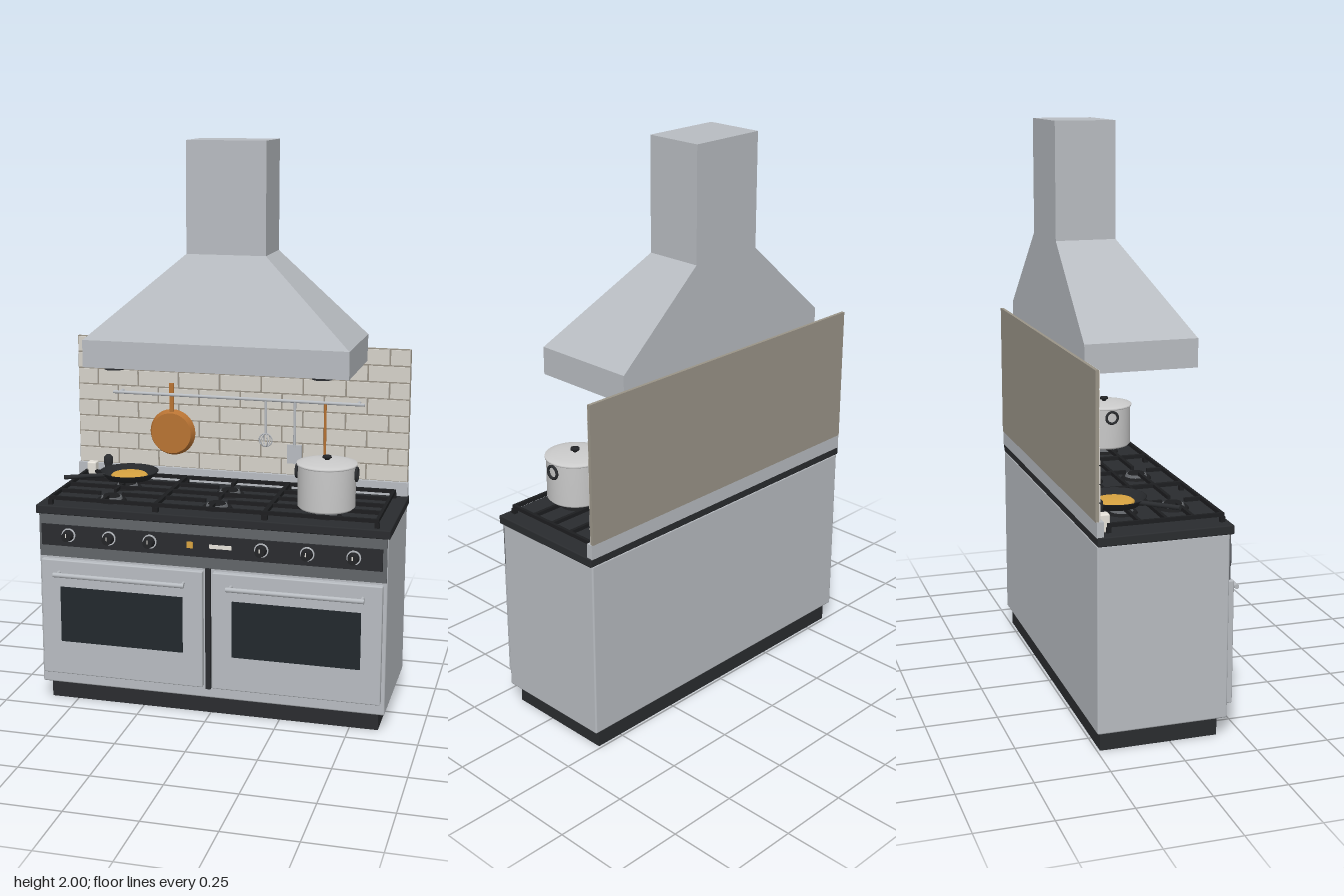
import * as THREE from 'three';
import { RoundedBoxGeometry } from 'three/addons/geometries/RoundedBoxGeometry.js';

const mat = (color, side = THREE.FrontSide) => new THREE.MeshStandardMaterial({ color, side });
const steel = mat(0xb8bcc1), dark = mat(0x2a2c2f), iron = mat(0x1d1e20), glass = mat(0x22282d);
const fascia = mat(0x626569), black = mat(0x232427), copper = mat(0xb87333), tileMat = mat(0xd6d2ca);
const grout = mat(0x9a9488), potMat = mat(0xcccccc), panMat = mat(0x26282b, THREE.DoubleSide);
const yellow = mat(0xd9a441), white = mat(0xe6e2da);

function add(parent, name, geo, material, x = 0, y = 0, z = 0) {
  const m = new THREE.Mesh(geo, material);
  m.name = name;
  m.position.set(x, y, z);
  parent.add(m);
  return m;
}
// box given by its lower and upper limits on each axis
function box(parent, name, material, x0, x1, y0, y1, z0, z1, r = 0) {
  const s = [x1 - x0, y1 - y0, z1 - z0];
  const geo = r ? new RoundedBoxGeometry(...s, 2, r) : new THREE.BoxGeometry(...s);
  return add(parent, name, geo, material, (x0 + x1) / 2, (y0 + y1) / 2, (z0 + z1) / 2);
}
// round bar between two points
function rod(parent, name, material, a, b, r) {
  const p = new THREE.Vector3(...a), q = new THREE.Vector3(...b), d = q.clone().sub(p);
  const m = add(parent, name, new THREE.CylinderGeometry(r, r, d.length(), 12), material);
  m.position.copy(p).add(q).multiplyScalar(0.5);
  m.quaternion.setFromUnitVectors(new THREE.Vector3(0, 1, 0), d.normalize());
  return m;
}
const lathe = (pts, n = 40) => new THREE.LatheGeometry(pts.map(p => new THREE.Vector2(...p)), n);
function group(parent, name) {
  const g = new THREE.Group();
  g.name = name;
  parent.add(g);
  return g;
}

function buildRange(root) {
  const g = group(root, 'range');
  box(g, 'plinth', dark, -0.6, 0.6, 0, 0.07, -0.24, 0.165);
  box(g, 'body', steel, -0.625, 0.625, 0.067, 0.706, -0.255, 0.193, 0.006);
  box(g, 'fascia', fascia, -0.622, 0.622, 0.548, 0.704, 0.18, 0.197);
  box(g, 'controlPanel', dark, -0.612, 0.608, 0.59, 0.667, 0.19, 0.203);
  box(g, 'doorDivider', dark, -0.009, 0.009, 0.105, 0.55, 0.18, 0.208);
  // control knobs with pointer marks
  for (const x of [-0.51, -0.36, -0.21, 0.19, 0.35, 0.51]) {
    const k = group(g, 'knob');
    k.position.set(x, 0.632, 0.2);
    k.rotation.x = Math.PI / 2;
    add(k, 'knobRing', new THREE.CylinderGeometry(0.025, 0.025, 0.008, 28), steel, 0, 0.004);
    add(k, 'knobBody', new THREE.CylinderGeometry(0.017, 0.021, 0.03, 28), black, 0, 0.02);
    add(k, 'knobMark', new THREE.BoxGeometry(0.004, 0.002, 0.014), white, 0, 0.0355, -0.006);
  }
  box(g, 'indicator', yellow, -0.076, -0.054, 0.62, 0.643, 0.2, 0.206);
  box(g, 'display', white, 0.005, 0.085, 0.624, 0.638, 0.2, 0.206);
  // oven doors
  for (const s of [-1, 1]) {
    const d = group(g, s < 0 ? 'rightOvenDoor' : 'leftOvenDoor');
    d.position.x = s * 0.315;
    box(d, 'doorPanel', steel, -0.297, 0.297, 0.112, 0.54, 0.19, 0.215, 0.004);
    box(d, 'doorWindow', glass, -0.226, 0.226, 0.237, 0.442, 0.2, 0.218);
    rod(d, 'handleBar', steel, [-0.24, 0.495, 0.248], [0.24, 0.495, 0.248], 0.0085);
    for (const x of [-0.23, 0.23]) rod(d, 'handlePost', steel, [x, 0.495, 0.21], [x, 0.495, 0.248], 0.006);
  }
}

function buildCooktop(root) {
  const g = group(root, 'cooktop');
  box(g, 'cooktopSlab', dark, -0.632, 0.632, 0.704, 0.735, -0.255, 0.205, 0.004);
  box(g, 'rearUpstand', steel, -0.628, 0.628, 0.733, 0.785, -0.257, -0.234);
  for (const x of [-0.39, 0, 0.39]) {
    // burners
    for (const z of [-0.1, 0.08]) {
      add(g, 'burnerBase', new THREE.CylinderGeometry(0.05, 0.055, 0.008, 32), iron, x, 0.738, z);
      add(g, 'burnerCrown', new THREE.CylinderGeometry(0.036, 0.04, 0.01, 32), fascia, x, 0.746, z);
      add(g, 'burnerCap', new THREE.CylinderGeometry(0.028, 0.032, 0.006, 32), iron, x, 0.753, z);
    }
    // pan support: frame, fingers and feet
    const p = group(g, 'panSupport');
    p.position.x = x;
    const w = 0.193, t = 0.0055, y0 = 0.753, y1 = 0.766, zb = -0.205, zf = 0.18;
    for (const sx of [-1, 1]) {
      box(p, 'sideBar', iron, sx * w - t, sx * w + t, y0, y1, zb, zf);
      for (const z of [-0.1, 0.08]) {
        const a = sx * w, b = sx * 0.04;
        box(p, 'finger', iron, Math.min(a, b), Math.max(a, b), y0, y1, z - t, z + t);
      }
      for (const z of [zb, zf]) box(p, 'foot', iron, sx * w - 0.008, sx * w + 0.008, 0.733, y0, z - 0.008, z + 0.008);
    }
    for (const z of [zb, -0.01, zf]) box(p, 'crossBar', iron, -w - t, w + t, y0, y1, z - t, z + t);
    for (const [a, b] of [[zb, -0.14], [-0.06, 0.04], [0.12, zf]]) box(p, 'centreFinger', iron, -t, t, y0, y1, a, b);
  }
}

function buildSplashback(root) {
  const g = group(root, 'splashback');
  box(g, 'splashPanel', grout, -0.626, 0.626, 0.785, 1.27, -0.26, -0.249);
  // running-bond tiles, cut at both ends
  const rows = 8, h = 0.485 / rows, w = 0.157, gap = 0.003;
  for (let r = 0; r < rows; r++) {
    for (let x = -0.626 - (r % 2) * w / 2; x < 0.62; x += w) {
      const a = Math.max(x, -0.626) + gap, b = Math.min(x + w, 0.626) - gap;
      if (b - a > 0.01) box(g, 'tile', tileMat, a, b, 0.785 + r * h + gap, 0.785 + (r + 1) * h - gap, -0.25, -0.244);
    }
  }
}

function buildHood(root) {
  const g = group(root, 'hood');
  const x = 0.47, zb = -0.249, zf = 0.133;
  // canopy rim, open below
  const rim = new THREE.Shape([[-x, zb], [x, zb], [x, zf], [-x, zf]].map(p => new THREE.Vector2(p[0], -p[1])));
  const i = 0.022;
  rim.holes.push(new THREE.Path([[-x + i, zb + i], [x - i, zb + i], [x - i, zf - i], [-x + i, zf - i]]
    .map(p => new THREE.Vector2(p[0], -p[1]))));
  const rimGeo = new THREE.ExtrudeGeometry(rim, { depth: 0.096, bevelEnabled: false }).rotateX(-Math.PI / 2);
  add(g, 'canopyRim', rimGeo, steel, 0, 1.225, 0);
  box(g, 'filterPanel', dark, -x + 0.01, x - 0.01, 1.24, 1.3, zb + 0.01, zf - 0.01);
  for (const c of [-0.29, 0, 0.29]) box(g, 'filter', fascia, c - 0.135, c + 0.135, 1.232, 1.242, -0.2, 0.06);
  for (const c of [-0.37, 0.37]) add(g, 'hoodLamp', new THREE.CylinderGeometry(0.035, 0.035, 0.026, 28), dark, c, 1.228, 0.085);
  // sloping canopy: a box whose upper corners draw in to the chimney
  const geo = new THREE.BoxGeometry(2 * x, 0.29, zf - zb);
  const p = geo.attributes.position;
  for (let k = 0; k < p.count; k++) {
    const top = p.getY(k) > 0;
    p.setXYZ(k, Math.sign(p.getX(k)) * (top ? 0.142 : x), top ? 1.61 : 1.32, p.getZ(k) < 0 ? zb : top ? -0.042 : zf);
  }
  geo.computeVertexNormals();
  add(g, 'canopySlope', geo, steel);
  box(g, 'chimney', steel, -0.142, 0.142, 1.61, 2, zb, -0.042);
}

function buildUtensils(root) {
  const g = group(root, 'utensilRail'), z = -0.208, y = 1.07;
  rod(g, 'rail', steel, [-0.475, y, z], [0.47, y, z], 0.006);
  for (const x of [-0.45, 0.445]) rod(g, 'railBracket', steel, [x, y, z], [x, y, -0.246], 0.006);
  // hanging copper pan
  const pan = add(g, 'copperPan', new THREE.CylinderGeometry(0.076, 0.087, 0.026, 44), copper, -0.255, 0.922, -0.226);
  pan.rotation.x = Math.PI / 2;
  box(g, 'copperPanHandle', copper, -0.263, -0.247, 0.995, 1.11, -0.23, -0.222);
  // whisk made of crossed loops
  rod(g, 'whiskHandle', steel, [0.107, 0.945, z], [0.107, y, z], 0.005);
  for (let k = 0; k < 3; k++) {
    const loop = add(g, 'whiskLoop', new THREE.TorusGeometry(0.024, 0.0022, 6, 28), steel, 0.107, 0.92, z);
    loop.rotation.y = k * Math.PI / 3;
  }
  // turner
  rod(g, 'turnerHandle', steel, [0.215, 0.9, z], [0.215, y, z], 0.005);
  box(g, 'turnerBlade', steel, 0.188, 0.242, 0.838, 0.908, z - 0.003, z + 0.003);
  // copper ladle
  rod(g, 'ladleHandle', copper, [0.327, 0.84, z], [0.327, y, z], 0.005);
  const bowl = new THREE.SphereGeometry(0.032, 24, 10, 0, Math.PI * 2, Math.PI / 2, Math.PI / 2);
  add(g, 'ladleBowl', bowl, mat(0xb87333, THREE.DoubleSide), 0.327, 0.848, z + 0.01);
}

function buildCookware(root) {
  // stock pot with lid
  const pot = group(root, 'stockPot');
  pot.position.set(0.39, 0.766, 0.08);
  add(pot, 'potBody', lathe([[0, 0], [0.092, 0], [0.1, 0.008], [0.1, 0.15], [0.104, 0.152], [0.104, 0.156], [0, 0.156]], 48), potMat);
  add(pot, 'potLid', lathe([[0.104, 0.154], [0.104, 0.159], [0.08, 0.164], [0.04, 0.168], [0, 0.169]], 48), potMat);
  add(pot, 'lidKnob', lathe([[0.008, 0.166], [0.008, 0.172], [0.016, 0.176], [0.015, 0.183], [0, 0.186]], 24), black);
  for (const s of [-1, 1]) {
    const h = add(pot, 'potHandle', new THREE.TorusGeometry(0.022, 0.005, 8, 28), dark, s * 0.104, 0.124, 0);
    h.rotation.y = Math.PI / 2;
  }
  // frying pan with a pancake
  const pan = group(root, 'fryingPan');
  pan.position.set(-0.39, 0.767, -0.125);
  add(pan, 'panBowl', lathe([[0, 0], [0.083, 0], [0.108, 0.026], [0.105, 0.027], [0.081, 0.005], [0, 0.005]], 44), panMat);
  add(pan, 'pancake', lathe([[0.066, 0.005], [0.068, 0.01], [0.062, 0.015], [0, 0.016]], 32), yellow);
  rod(pan, 'panHandle', dark, [-0.075, 0.02, 0.065], [-0.195, 0.028, 0.16], 0.008);
  // shakers
  box(root, 'saltBox', white, -0.583, -0.548, 0.735, 0.795, -0.234, -0.199, 0.005);
  add(root, 'pepperMill', lathe([[0, 0], [0.018, 0], [0.013, 0.045], [0.018, 0.06], [0.017, 0.08], [0.008, 0.09], [0, 0.09]], 24), dark, -0.503, 0.735, -0.216);
}

export function createModel() {
  const root = new THREE.Group();
  root.name = 'rangeCookerWithHood';
  for (const build of [buildRange, buildCooktop, buildSplashback, buildHood, buildUtensils, buildCookware]) build(root);
  return root;
}
